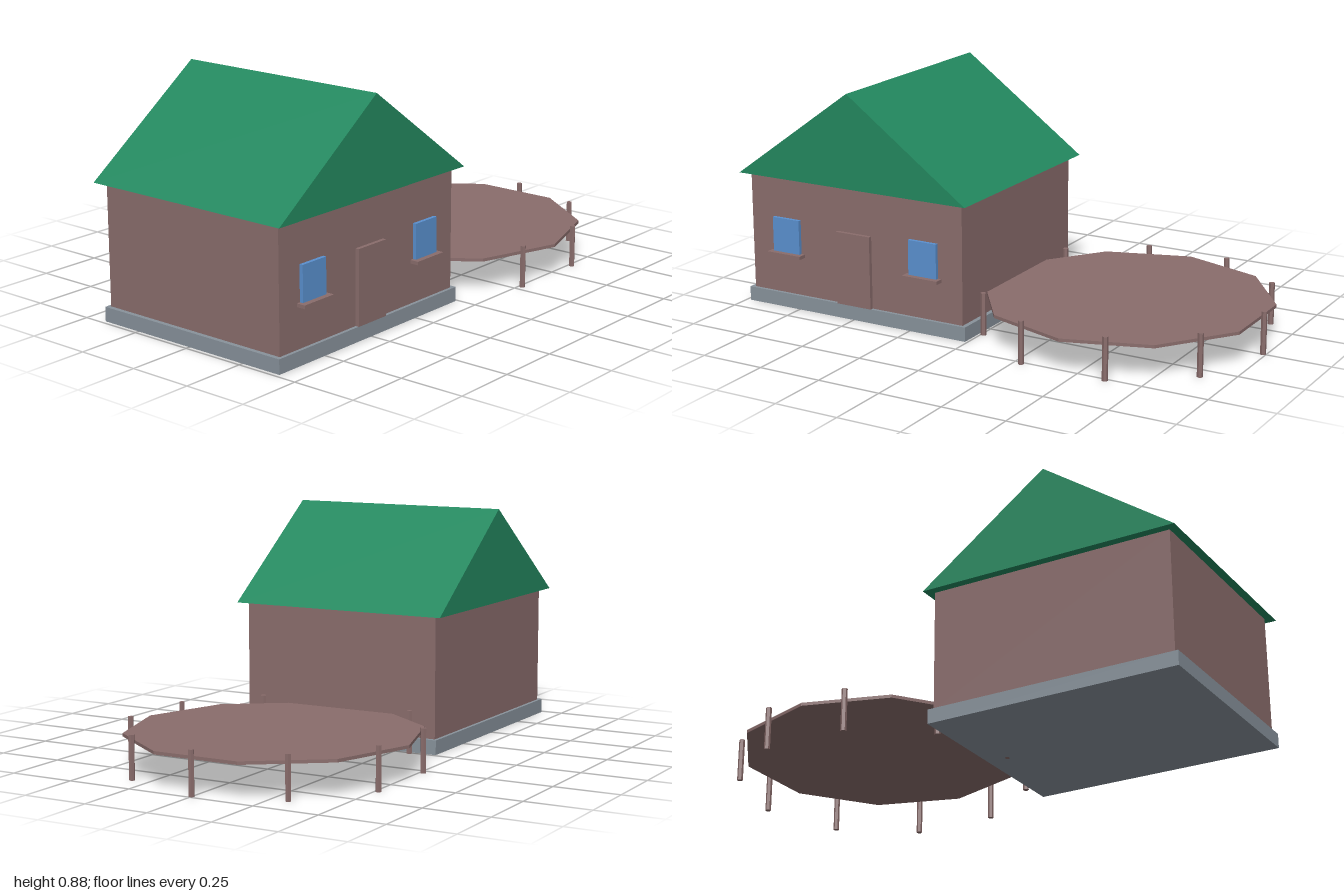
import * as THREE from 'three';

const material = (name, color) => {
  const m = new THREE.MeshStandardMaterial({ color });
  m.name = name;
  return m;
};

export function createModel() {
  const model = new THREE.Group();
  model.name = 'houseWithDeck';
  const brown = material('brown wood', 0x8a6d6c);
  const green = material('green roof', 0x23885f);
  const grey = material('grey stone', 0x88929b);
  const blue = material('blue glass', 0x5a90cf);

  const add = (name, geometry, mat, x = 0, y = 0, z = 0, parent = model) => {
    const mesh = new THREE.Mesh(geometry, mat);
    mesh.name = name;
    mesh.position.set(x, y, z);
    parent.add(mesh);
    return mesh;
  };
  // Box given by its lower and upper corners
  const box = (name, mat, [x0, y0, z0], [x1, y1, z1], parent = model) =>
    add(name, new THREE.BoxGeometry(x1 - x0, y1 - y0, z1 - z0), mat,
      (x0 + x1) / 2, (y0 + y1) / 2, (z0 + z1) / 2, parent);

  // House body
  const cx = -0.497;
  box('foundation', grey, [cx - 0.487, 0, -0.418], [cx + 0.487, 0.055, 0.418]);
  box('walls', brown, [cx - 0.47, 0.055, -0.405], [cx + 0.47, 0.517, 0.405]);
  box('door', brown, [cx - 0.075, 0.055, 0.405], [cx + 0.075, 0.338, 0.42]);

  // Gabled roof: solid triangular prism
  const gable = new THREE.Shape();
  gable.moveTo(cx - 0.502, 0.516);
  gable.lineTo(cx + 0.502, 0.516);
  gable.lineTo(cx, 0.878);
  gable.closePath();
  const roof = new THREE.ExtrudeGeometry(gable, { depth: 0.876, bevelEnabled: false });
  add('roof', roof, green, 0, 0, -0.438);

  // Windows with sills on both sides of the door
  for (const side of [-1, 1]) {
    const x = cx + side * 0.306;
    const unit = new THREE.Group();
    unit.name = side < 0 ? 'rightWindow' : 'leftWindow';
    box('windowPane', blue, [x - 0.06, 0.219, 0.405], [x + 0.06, 0.354, 0.419], unit);
    box('windowSill', brown, [x - 0.075, 0.207, 0.405], [x + 0.075, 0.22, 0.44], unit);
    model.add(unit);
  }

  // Ten-sided deck
  const deckX = 0.448;
  const deck = new THREE.CylinderGeometry(0.545, 0.545, 0.012, 10).toNonIndexed();
  deck.computeVertexNormals();
  add('deck', deck, brown, deckX, 0.129, 0);

  // Ring of posts around the deck
  const postGeometry = new THREE.CylinderGeometry(0.011, 0.011, 0.163, 6).toNonIndexed();
  postGeometry.computeVertexNormals();
  for (let i = 0; i < 10; i++) {
    const a = (i / 10) * Math.PI * 2;
    add('deckPost', postGeometry, brown,
      deckX + 0.541 * Math.cos(a), 0.0815, 0.541 * Math.sin(a));
  }
  return model;
}
